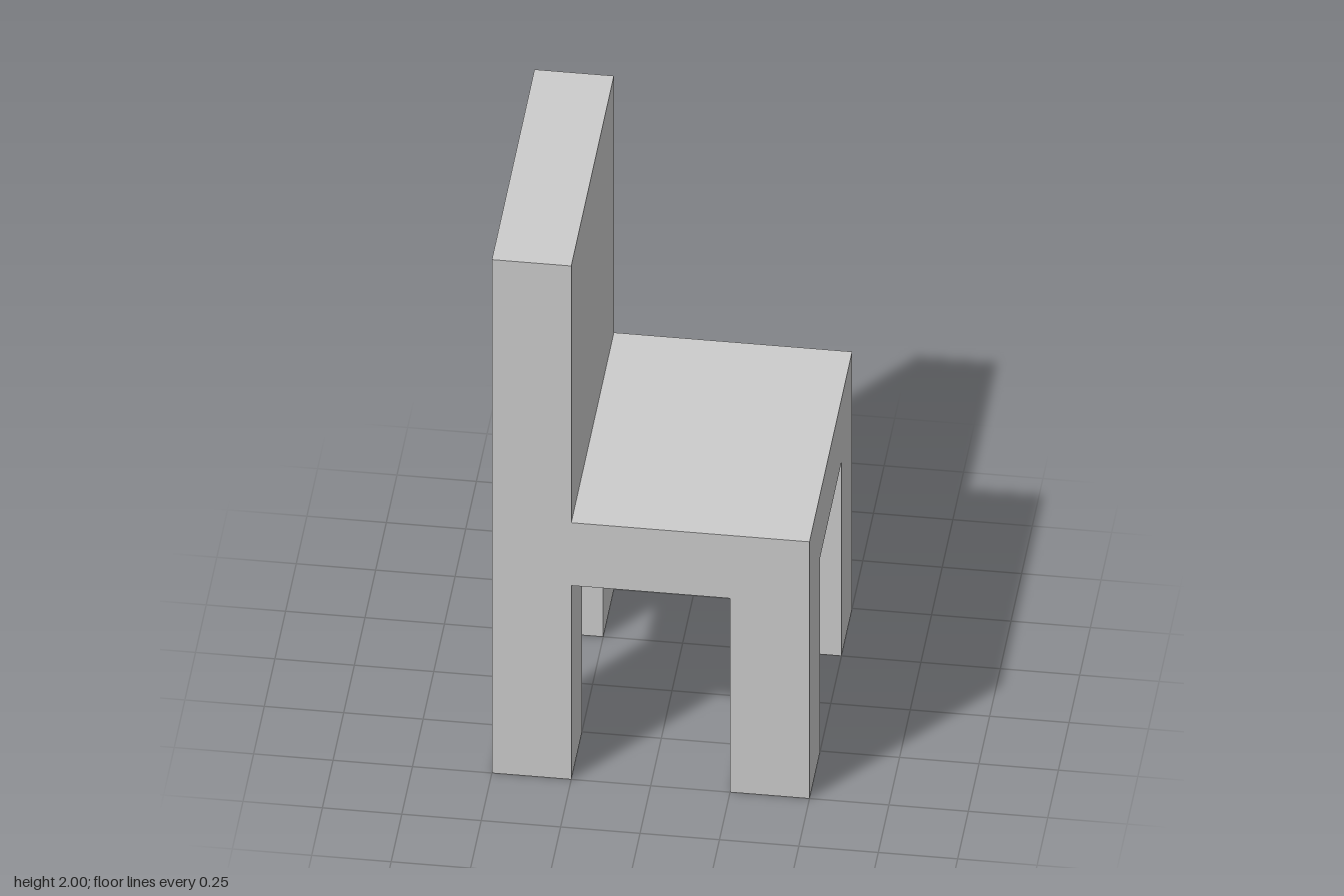
import * as THREE from 'three';

export function createModel() {
  const model = new THREE.Group();
  model.name = 'chair';
  const material = new THREE.MeshStandardMaterial({ color: 0xcccccc, flatShading: true });

  const half = 0.5;          // half of the footprint
  const thick = 0.25;        // leg and backrest thickness
  const seatBottom = 0.755;
  const seatTop = 1;
  const height = 2;

  // Seat and backrest: one L-shaped profile extruded across the width
  const profile = new THREE.Shape([
    [-half, seatBottom], [half, seatBottom], [half, seatTop],
    [-half + thick, seatTop], [-half + thick, height], [-half, height],
  ].map(([x, y]) => new THREE.Vector2(x, y)));
  const bodyGeometry = new THREE.ExtrudeGeometry(profile, { depth: 2 * half, bevelEnabled: false });
  bodyGeometry.translate(0, 0, -half);
  const body = new THREE.Mesh(bodyGeometry, material);
  body.name = 'seatAndBackrest';
  model.add(body);

  // Four square legs flush with the seat corners
  const legGeometry = new THREE.BoxGeometry(thick, seatBottom, thick);
  const offset = half - thick / 2;
  for (const [xSide, xName] of [[1, 'front'], [-1, 'rear']]) {
    for (const [zSide, zName] of [[1, 'Right'], [-1, 'Left']]) {
      const leg = new THREE.Mesh(legGeometry, material);
      leg.name = `${xName}${zName}Leg`;
      leg.position.set(xSide * offset, seatBottom / 2, zSide * offset);
      model.add(leg);
    }
  }

  return model;
}
